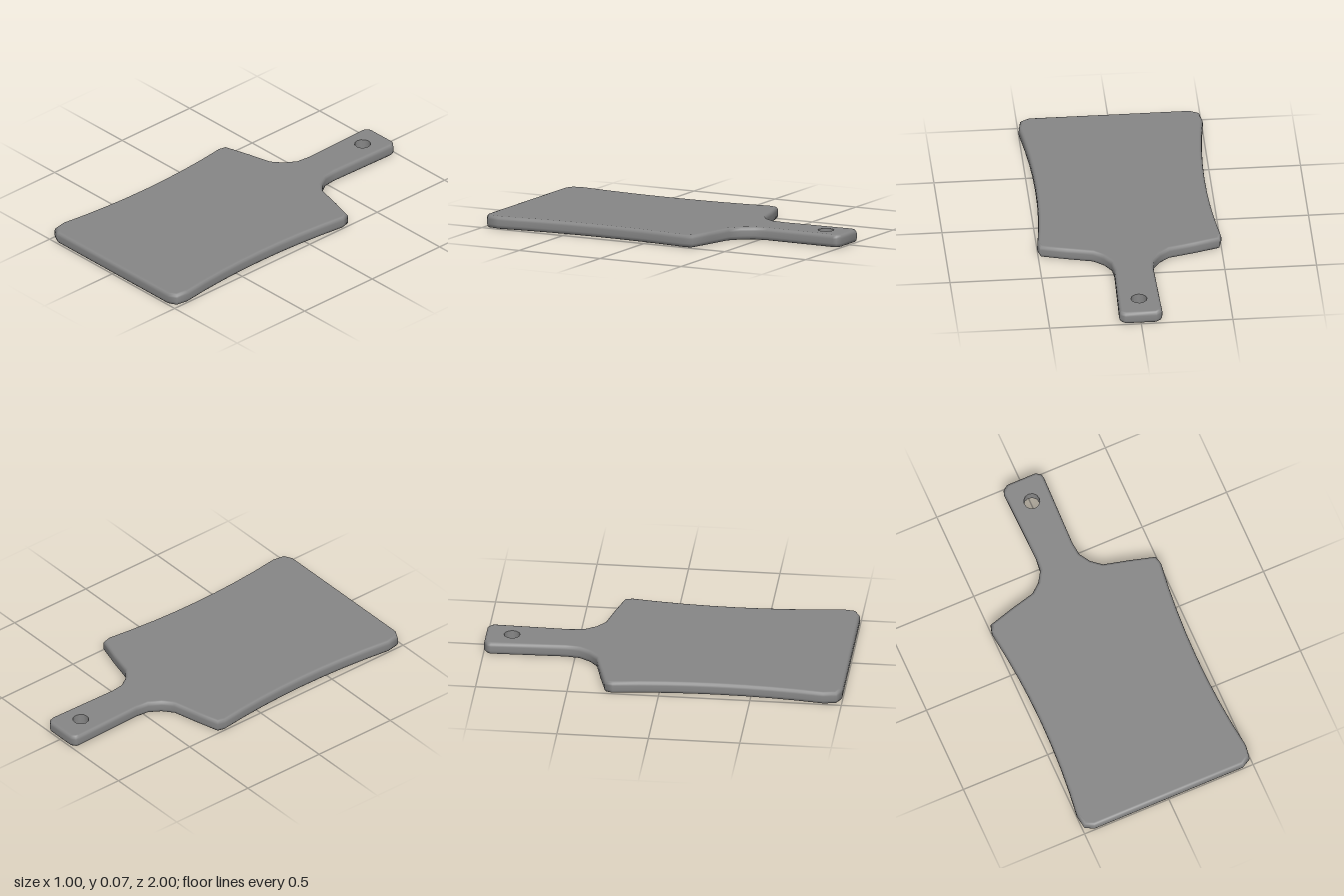
import * as THREE from 'three';

const THICK = 0.07, HOLE_R = 0.044, HOLE_Z = -0.855;
const BEVEL = 0.018, BEVEL_H = 0.022, BEVEL_STEPS = 3;

// Board outline as (x, z), right half from the front edge to the handle end, then mirrored
function boardOutline() {
  const half = [[0.44, 1], [0.49, 0.973]];
  const n = 8;
  for (let i = 0; i <= n; i++) { // concave long side
    const t = 1 - (2 * i) / n;
    half.push([0.462 + 0.04 * t * t, 0.325 + 0.575 * t]);
  }
  half.push([0.49, -0.295], [0.35, -0.335], [0.21, -0.37], // shoulder
    [0.155, -0.415], [0.117, -0.475], [0.108, -0.55], // neck
    [0.118, -0.96], [0.112, -0.98], [0.085, -1]); // handle end
  const left = half.map(([x, z]) => [-x, z]).reverse();
  return [...half, ...left].map(([x, z]) => new THREE.Vector2(x, z));
}

// Moves every outline point inward by d along the mitred corner
function inset(pts, d) {
  const count = pts.length;
  const inward = (a, b) => new THREE.Vector2(b.y - a.y, a.x - b.x).normalize();
  return pts.map((p, i) => {
    const n1 = inward(pts[(i + count - 1) % count], p);
    const n2 = inward(p, pts[(i + 1) % count]);
    return n1.clone().add(n2).multiplyScalar(d / (1 + n1.dot(n2))).add(p);
  });
}

// Rounded rim made of stacked outline rings, blending smoothly into both flat faces
function rimGeometry(outline) {
  const lower = [], upper = [];
  for (let s = 0; s <= BEVEL_STEPS; s++) {
    const a = (s / BEVEL_STEPS) * (Math.PI / 2);
    const pts = inset(outline, BEVEL * (1 - Math.sin(a)));
    const y = BEVEL_H * (1 - Math.cos(a));
    lower.push([pts, y]);
    upper.unshift([pts, THICK - y]);
  }
  const rings = [...lower, ...upper];
  const n = outline.length, pos = [], idx = [];
  rings.forEach(([pts, y]) => pts.forEach((p) => pos.push(p.x, y, p.y)));
  for (let r = 0; r < rings.length - 1; r++) {
    for (let i = 0; i < n; i++) {
      const a = r * n + i, b = r * n + ((i + 1) % n);
      idx.push(a, b, b + n, a, b + n, a + n);
    }
  }
  const geo = new THREE.BufferGeometry();
  geo.setAttribute('position', new THREE.Float32BufferAttribute(pos, 3));
  geo.setIndex(idx);
  geo.computeVertexNormals();
  for (let i = 0; i < n; i++) {
    geo.attributes.normal.setXYZ(i, 0, -1, 0);
    geo.attributes.normal.setXYZ((rings.length - 1) * n + i, 0, 1, 0);
  }
  return geo;
}

// Flat face with the hanging hole; side is +1 for the top, -1 for the bottom
function faceGeometry(pts, side) {
  const shape = new THREE.Shape(pts.map((p) => new THREE.Vector2(p.x, -side * p.y)));
  const hole = new THREE.Path();
  hole.absarc(0, -side * HOLE_Z, HOLE_R, 0, Math.PI * 2, true);
  shape.holes.push(hole);
  return new THREE.ShapeGeometry(shape, 6).rotateX((-side * Math.PI) / 2);
}

export function createModel() {
  const group = new THREE.Group();
  group.name = 'cuttingBoard';
  const mat = new THREE.MeshStandardMaterial({ color: 0x878787 });
  const innerMat = new THREE.MeshStandardMaterial({ color: 0x878787, side: THREE.BackSide });
  const add = (name, geo, material = mat) => {
    const mesh = new THREE.Mesh(geo, material);
    mesh.name = name;
    group.add(mesh);
    return mesh;
  };

  const outline = boardOutline();
  const narrow = inset(outline, BEVEL);
  add('boardRim', rimGeometry(outline));
  add('boardTop', faceGeometry(narrow, 1)).position.y = THICK;
  add('boardBottom', faceGeometry(narrow, -1));

  // Inside wall of the hanging hole
  const wall = new THREE.CylinderGeometry(HOLE_R, HOLE_R, THICK, 12, 1, true);
  add('hangingHole', wall, innerMat).position.set(0, THICK / 2, HOLE_Z);
  return group;
}
